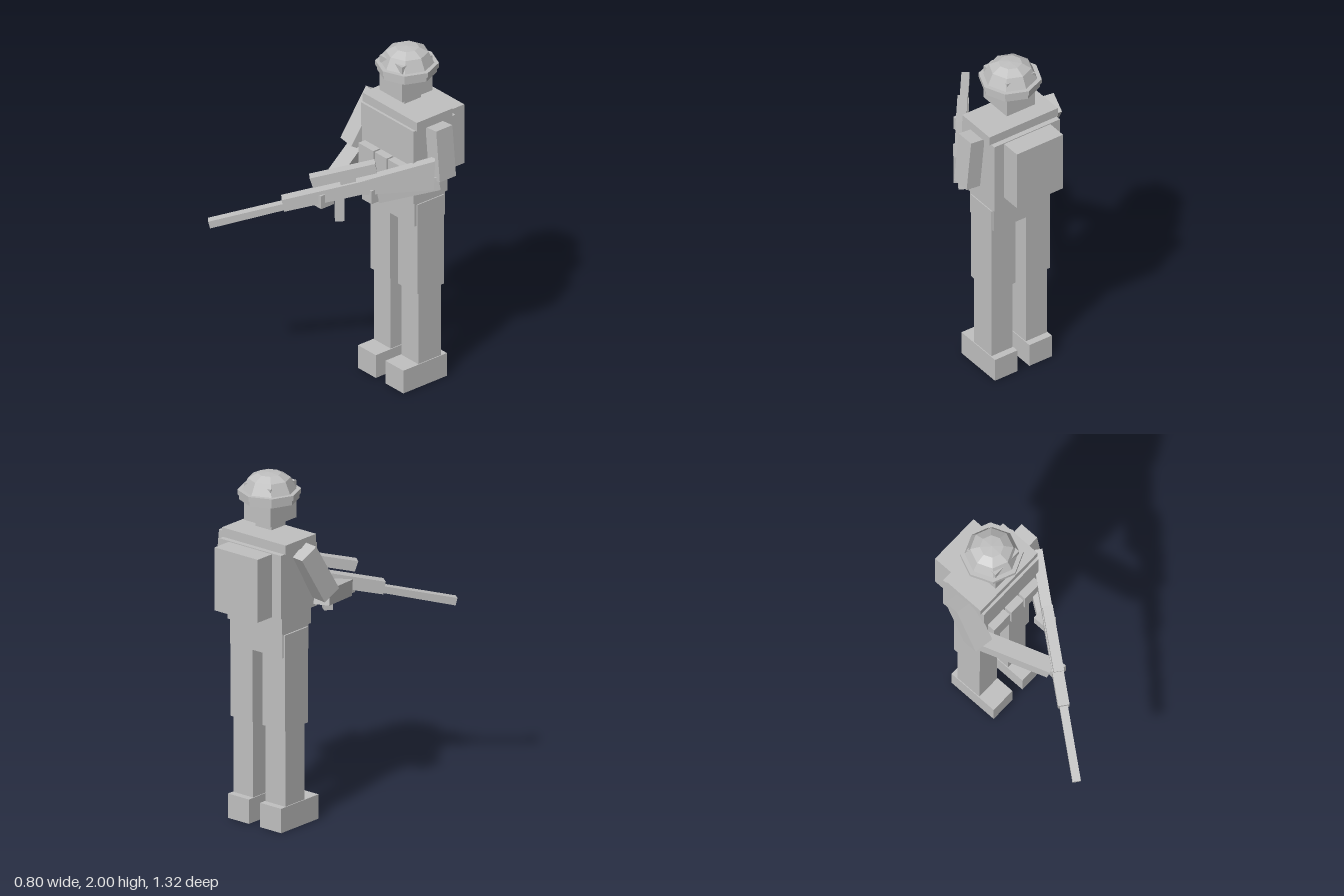
import * as THREE from 'three';

export function createModel() {
  const model = new THREE.Group();
  const grey = new THREE.MeshStandardMaterial({ color: 0xc0c0c0 });
  grey.name = 'plain grey';

  const add = (name, geometry, parent = model) => {
    const mesh = new THREE.Mesh(geometry, grey);
    mesh.name = name;
    parent.add(mesh);
    return mesh;
  };

  // Box given by its limits on each axis
  const block = (name, x0, x1, y0, y1, z0, z1) => {
    const mesh = add(name, new THREE.BoxGeometry(x1 - x0, y1 - y0, z1 - z0));
    mesh.position.set((x0 + x1) / 2, (y0 + y1) / 2, (z0 + z1) / 2);
    return mesh;
  };

  // Box stretched between two points
  const limb = (name, a, b, width, height) => {
    const from = new THREE.Vector3(...a), to = new THREE.Vector3(...b);
    const mesh = add(name, new THREE.BoxGeometry(width, height, from.distanceTo(to)));
    mesh.position.copy(from).lerp(to, 0.5);
    mesh.lookAt(to);
    return mesh;
  };

  // Legs and boots, mirrored about the body's centre line
  const cx = 0.066;
  for (const [side, s] of [['right', -1], ['left', 1]]) {
    const x = cx + s * 0.115;
    block(side + 'Boot', x - 0.075, x + 0.075, 0, 0.14, -0.51, -0.2);
    block(side + 'LowerLeg', x - 0.07, x + 0.07, 0.14, 0.58, -0.47, -0.31);
    block(side + 'UpperLeg', x - 0.08, x + 0.08, 0.58, 1.13, -0.485, -0.295);
  }

  // Body
  block('hips', -0.12, 0.255, 1.0, 1.145, -0.495, -0.28);
  block('belt', -0.13, 0.26, 1.145, 1.245, -0.51, -0.27);
  block('torso', -0.152, 0.285, 1.245, 1.61, -0.545, -0.247);
  block('collar', -0.16, 0.295, 1.61, 1.663, -0.515, -0.262);
  block('backpack', -0.088, 0.22, 1.243, 1.605, -0.663, -0.54);
  for (const [x0, x1] of [[-0.12, 0.005], [0.017, 0.115], [0.127, 0.252]])
    block('pouch', x0, x1, 1.25, 1.39, -0.25, -0.2);

  // Head
  block('neck', 0.01, 0.125, 1.69, 1.735, -0.435, -0.32);
  block('head', -0.028, 0.16, 1.73, 1.945, -0.487, -0.273);

  // Eight-sided helmet with flat facets
  const profile = [[0.15, 1.847], [0.163, 1.847], [0.163, 1.875], [0.173, 1.875], [0.173, 1.903],
    [0.148, 1.903], [0.117, 1.968], [0.065, 1.995], [0, 2.0]].map(p => new THREE.Vector2(...p));
  profile.unshift(new THREE.Vector2(0, 1.847));
  const helmetGeometry = new THREE.LatheGeometry(profile, 8).toNonIndexed();
  helmetGeometry.computeVertexNormals();
  add('helmet', helmetGeometry).position.set(cx, 0, -0.388);

  // Arms
  limb('rightUpperArm', [-0.18, 1.605, -0.4], [-0.205, 1.33, -0.24], 0.115, 0.117);
  limb('rightForearm', [-0.19, 1.305, -0.25], [-0.025, 1.22, 0.13], 0.09, 0.09);
  block('rightHand', -0.05, 0.028, 1.18, 1.26, 0.1, 0.19);
  const leftUpperArm = block('leftUpperArm', 0.287, 0.377, 1.31, 1.612, -0.45, -0.335);
  leftUpperArm.position.x = 0.342;
  leftUpperArm.rotation.z = 0.1;
  limb('leftForearm', [0.35, 1.295, -0.37], [0.165, 1.235, -0.09], 0.08, 0.08);
  block('leftHand', 0.11, 0.19, 1.2, 1.28, -0.12, -0.03);

  // Rifle: side profiles in (z, y), extruded across and turned to its aim
  const rifle = new THREE.Group();
  rifle.name = 'rifle';
  rifle.position.x = 0.113;
  rifle.rotation.y = Math.atan2(-0.794, -0.608);
  model.add(rifle);
  const plate = (name, width, points) => {
    const shape = new THREE.Shape(points.map(([z, y]) => new THREE.Vector2(z / 0.794, y)));
    const geometry = new THREE.ExtrudeGeometry(shape, { depth: width, bevelEnabled: false });
    add(name, geometry.translate(0, 0, -width / 2), rifle);
  };
  plate('barrel', 0.045, [[0.646, 1.106], [0.638, 1.064], [0.31, 1.168], [0.31, 1.208]]);
  plate('receiver', 0.062, [[0.33, 1.232], [0.32, 1.16], [-0.05, 1.264], [-0.05, 1.344]]);
  plate('stock', 0.058, [[-0.02, 1.336], [-0.02, 1.25], [-0.325, 1.27], [-0.33, 1.447]]);
  plate('scope', 0.056, [[0.21, 1.36], [0.195, 1.302], [-0.08, 1.382], [-0.072, 1.44]]);
  plate('scopeMount', 0.03, [[0.075, 1.36], [0.075, 1.28], [0.01, 1.28], [0.01, 1.36]]);
  plate('magazine', 0.05, [[0.1, 1.24], [0.1, 1.09], [0.06, 1.09], [0.06, 1.24]]);

  return model;
}
